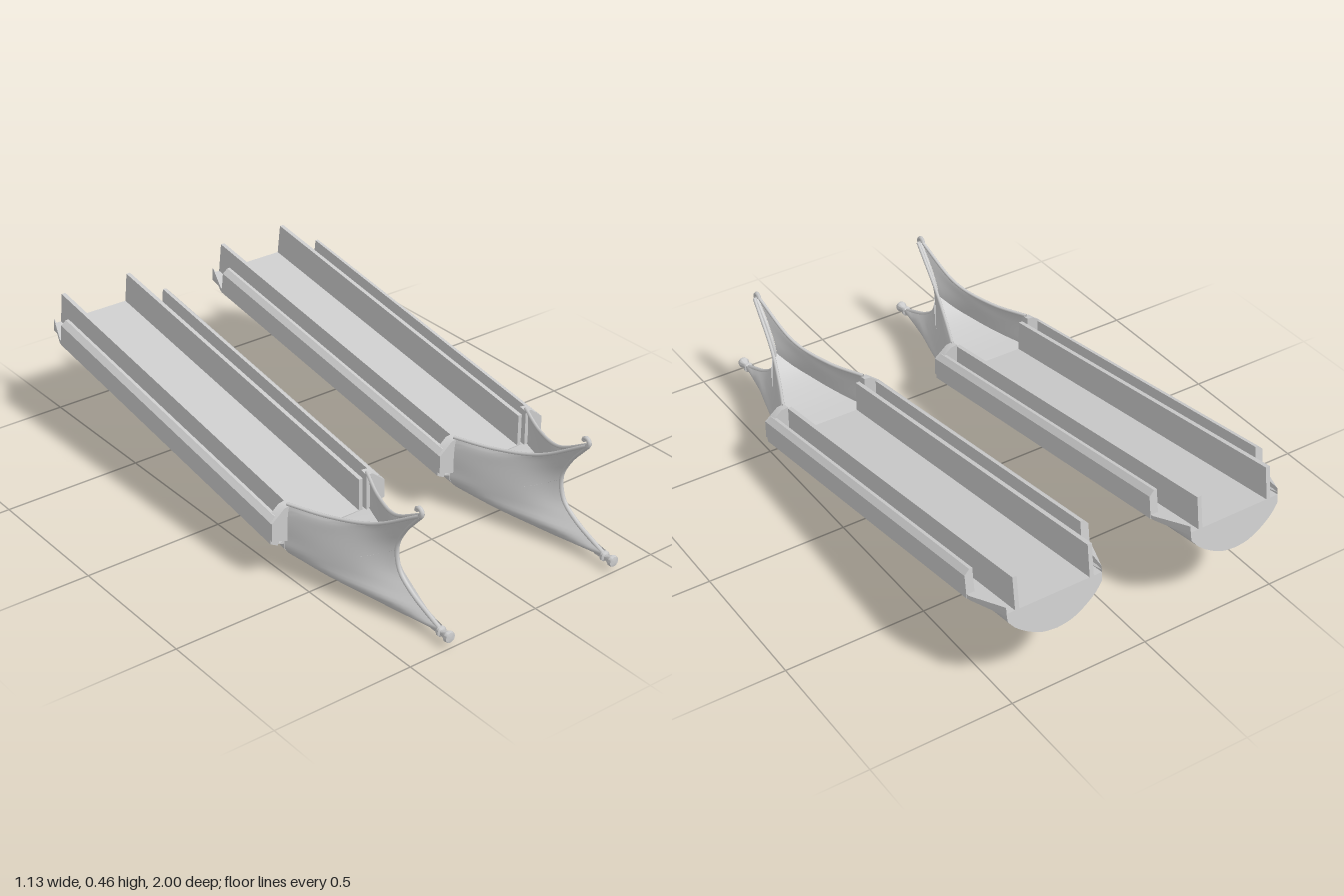
import * as THREE from 'three';
import { toCreasedNormals } from 'three/addons/utils/BufferGeometryUtils.js';

const material = new THREE.MeshStandardMaterial({ color: 0xcccccc, side: THREE.DoubleSide });
const FRONT = 0.385, SLOPE = 0.155;

function part(name, geometry, parent) {
  const mesh = new THREE.Mesh(geometry, material);
  mesh.name = name;
  parent.add(mesh);
  return mesh;
}

// Surface through rows of [x, y, z] points; closed rows wrap round and get end caps
function loft(rows, closed = false, crease = 0.6, outline = null) {
  const n = rows[0].length, index = [];
  const geometry = new THREE.BufferGeometry();
  geometry.setAttribute('position', new THREE.Float32BufferAttribute(rows.flat(2), 3));
  for (let i = 0; i < rows.length - 1; i++) {
    for (let j = 0; j < (closed ? n : n - 1); j++) {
      const a = i * n + j, b = i * n + (j + 1) % n;
      index.push(a, b, b + n, a, b + n, a + n);
    }
  }
  if (outline) {
    const last = (rows.length - 1) * n;
    const faces = THREE.ShapeUtils.triangulateShape(outline.map(p => new THREE.Vector2(...p)), []);
    for (const [a, b, c] of faces) index.push(a, c, b, a + last, b + last, c + last);
  }
  geometry.setIndex(index);
  return toCreasedNormals(geometry, crease);
}

// Run a cross-section along the rising hull; the stern is cut square to the slope
function run(section, stations) {
  const rows = stations.map(([z, limit = 1]) => section.map(([x, y]) => [
    Math.sign(x) * Math.min(Math.abs(x), limit),
    y + SLOPE * (FRONT - z),
    z + (z < -0.5 ? 0.15 * y : 0)
  ]));
  return loft(rows, true, 0.6, section);
}

const spline = (points, n) =>
  new THREE.CatmullRomCurve3(points.map(p => new THREE.Vector3(...p)), false, 'centripetal')
    .getPoints(n).map(p => p.toArray());

function tube(points, radius, steps = 32) {
  const curve = new THREE.CatmullRomCurve3(points.map(p => new THREE.Vector3(...p)));
  return new THREE.TubeGeometry(curve, steps, radius, 8, false);
}

function createHull() {
  const hull = new THREE.Group();

  // Rounded hull body with side flanges and a flat deck
  const belly = spline([[0, 0.015, 0], [0.05, 0.022, 0], [0.1, 0.045, 0], [0.145, 0.078, 0], [0.17, 0.108, 0]], 12)
    .map(p => [p[0], p[1]]);
  const half = [...belly, [0.172, 0.128], [0.222, 0.146], [0.222, 0.16], [0.198, 0.16], [0.19, 0.138]];
  const section = [...half, ...half.slice(1).reverse().map(([x, y]) => [-x, y])];
  part('hullBody', run(section, [[-1.002, 0.172], [-0.88], [FRONT]]), hull);

  for (const side of [1, -1]) {
    const flip = points => points.map(([x, y]) => [side * x, y]);
    const label = side > 0 ? 'left' : 'right';
    // Tall inner wall
    part(label + 'InnerWall', run(flip([[0.127, 0.12], [0.142, 0.12], [0.142, 0.252], [0.127, 0.252]]),
      [[-1.002], [FRONT]]), hull);
    // Outer rail, stopping short of the stern
    part(label + 'OuterRail', run(flip([[0.195, 0.13], [0.224, 0.146], [0.224, 0.225], [0.206, 0.242], [0.195, 0.242]]),
      [[-0.87], [FRONT]]), hull);
    // Cheek block joining rail and bow
    part(label + 'Cheek', run(flip([[0.15, 0.138], [0.224, 0.16], [0.224, 0.225], [0.175, 0.265], [0.15, 0.268]]),
      [[0.365], [0.395]]), hull);
  }

  // Bow planking: each strake runs from the hull to the stem, keel first
  const strakes = [
    [[0, 0.015, FRONT], [0, 0.003, 0.5], [0, 0.012, 0.7], [0, 0.028, 0.96]],
    [[0.085, 0.036, FRONT], [0.066, 0.026, 0.53], [0.04, 0.03, 0.74], [0.01, 0.042, 0.96]],
    [[0.145, 0.078, FRONT], [0.108, 0.062, 0.55], [0.058, 0.058, 0.74], [0.009, 0.06, 0.9]],
    [[0.168, 0.11, FRONT], [0.125, 0.1, 0.51], [0.068, 0.1, 0.67], [0.009, 0.1, 0.81]],
    [[0.168, 0.15, FRONT], [0.122, 0.145, 0.51], [0.068, 0.15, 0.64], [0.009, 0.15, 0.75]],
    [[0.168, 0.21, FRONT], [0.116, 0.205, 0.51], [0.06, 0.22, 0.63], [0.009, 0.23, 0.735]],
    [[0.164, 0.25, FRONT], [0.106, 0.25, 0.52], [0.048, 0.27, 0.65], [0.009, 0.31, 0.775]],
    [[0.158, 0.27, FRONT], [0.098, 0.267, 0.52], [0.043, 0.295, 0.67], [0.008, 0.395, 0.845]]
  ];
  const strakeRows = strakes.map(points => spline(points, 18));
  const stations = strakeRows[0].map((_, j) => spline(strakeRows.map(row => row[j]), 28));
  for (const side of [1, -1]) {
    const rows = stations.map(row => row.map(([x, y, z]) => [side * x, y, z]));
    part(side > 0 ? 'leftBow' : 'rightBow', loft(rows, false, 1.2), hull);
    // Gunwale trim
    part('gunwale', tube(strakes[7].map(([x, y, z]) => [side * x, y, z]), 0.006), hull);
  }

  // Bow floor sweeping up behind the stem
  const floor = spline([[0.166, 0.136, FRONT], [0.115, 0.145, 0.52], [0.065, 0.17, 0.64], [0.01, 0.22, 0.735]], 14);
  part('bowFloor', loft(floor.map(([x, y, z]) => [[-x, y, z], [0, y - 0.004, z], [x, y, z]]), false, 1), hull);

  // Stem post ending in a backward curl
  part('stemPost', tube([[0, 0.04, 0.95], [0, 0.06, 0.9], [0, 0.1, 0.81], [0, 0.15, 0.75], [0, 0.23, 0.735],
    [0, 0.31, 0.775], [0, 0.375, 0.83], [0, 0.4, 0.85], [0, 0.414, 0.843], [0, 0.415, 0.829], [0, 0.404, 0.824]],
  0.008, 64), hull);

  // Ram with a collar and flared knob
  const profile = [[0.011, 0], [0.012, 0.03], [0.018, 0.034], [0.018, 0.042], [0.011, 0.046],
    [0.012, 0.056], [0.02, 0.072], [0.018, 0.082], [0, 0.086]];
  const ram = part('ram', toCreasedNormals(
    new THREE.LatheGeometry(profile.map(p => new THREE.Vector2(...p)), 12), 0.7), hull);
  ram.rotation.x = Math.PI / 2;
  ram.position.set(0, 0.036, 0.912);
  return hull;
}

export function createModel() {
  const model = new THREE.Group();
  model.name = 'twinHulls';
  for (const side of [1, -1]) {
    const hull = createHull();
    hull.name = side > 0 ? 'leftHull' : 'rightHull';
    hull.position.x = side * 0.34;
    model.add(hull);
  }
  return model;
}
